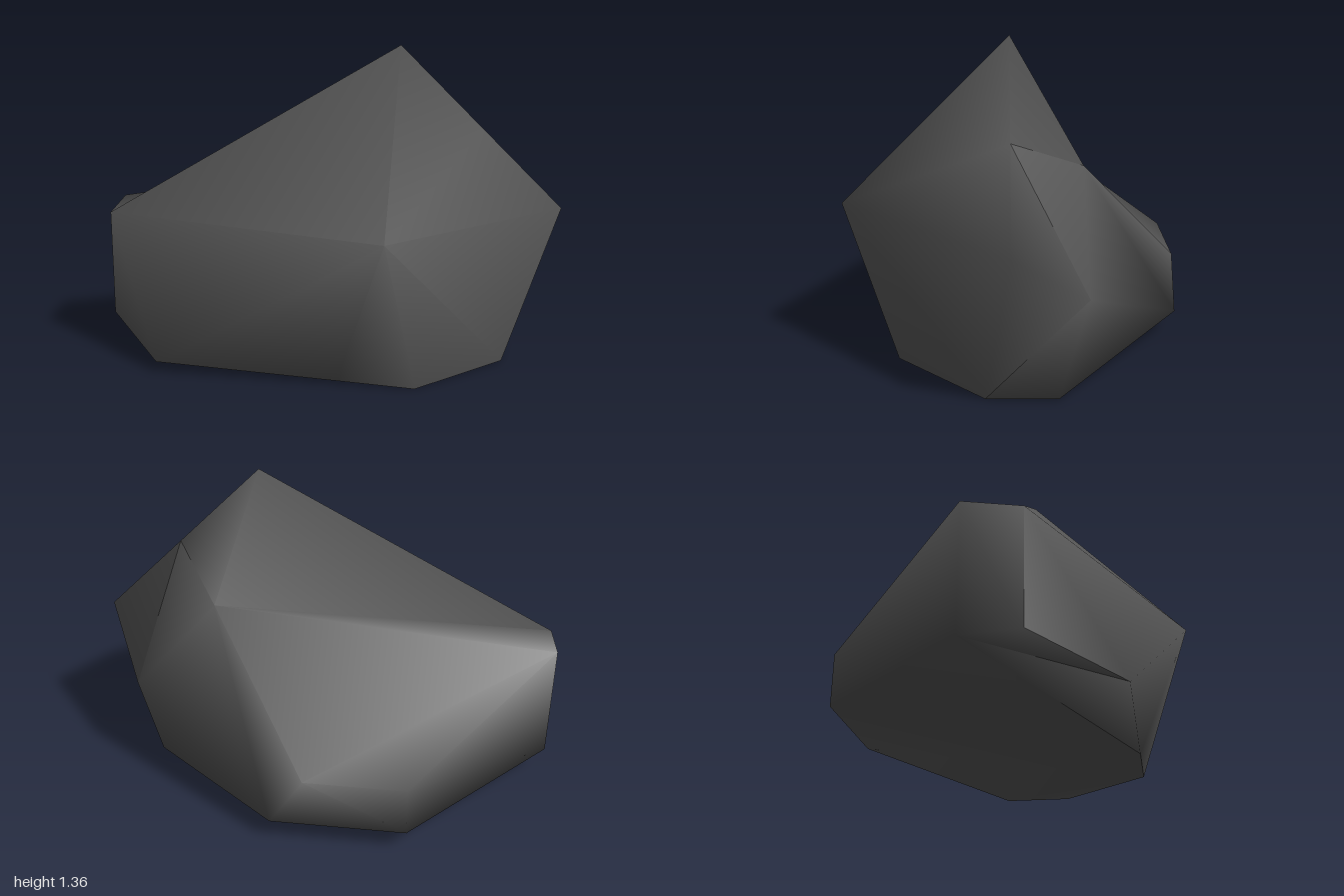
import * as THREE from 'three';

// Corners of the boulder
const corners = {
  peak: [0.3, 1.36, 0.02], east: [1, 0.67, 0.02], nose: [0.3, 0.66, 0.72],
  hip: [0.82, 0.44, -0.28], notch: [0.45, 0.86, -0.275],
  // flat chip at the back
  backA: [0.02, 0.32, -0.72], backB: [-0.41, 0.32, -0.72],
  backC: [-0.41, 0.1, -0.72], backD: [0.16, 0.1, -0.72],
  // flat chip at the -x end
  endA: [-1, 0.64, -0.11], endB: [-1, 0.12, -0.11],
  endC: [-0.99, 0.14, 0.12], endD: [-0.99, 0.61, 0.12],
  // foot
  footA: [-0.69, 0.045, 0.46], footB: [0.41, 0, 0.49],
  footC: [0.765, 0, 0.12], footD: [0.77, 0, -0.17],
  // points where the crease between the two shells meets an edge
  seamTop: [0.66, 1.005, 0.02], seamFoot: [0.09, 0.013, 0.481],
};

// Facets, counter-clockwise from outside; each list is shaded smooth on its own
const frontFacets = [
  // front
  'peak endD nose', 'endD endC footA', 'endD footA nose',
  'footA seamFoot nose', 'seamFoot footB nose',
  'nose east seamTop peak', 'nose footB footC east',
  // wrapping over the top, +x side and underside
  'peak seamTop notch', 'peak notch endD',
  'seamTop east hip', 'east footC hip', 'seamFoot footA endB',
];
const backFacets = [
  // +x side
  'seamTop hip notch', 'footC footD hip',
  // back, hollow below the notch
  'notch endA endD', 'notch hip backD backA', 'hip footD backD',
  'notch backA endA', 'backA backB endA',
  'backA backD backC backB', 'backB backC endB endA',
  // -x end
  'endA endB endC endD', 'footA endC endB',
  // underside
  'footB seamFoot endB backC backD footD footC',
];

// Smooth shell from named facets, each split as a fan
function shell(name, facets, material) {
  const names = [...new Set(facets.join(' ').split(' '))];
  const index = [];
  for (const facet of facets) {
    const ring = facet.split(' ').map((corner) => names.indexOf(corner));
    for (let i = 1; i < ring.length - 1; i++) index.push(ring[0], ring[i], ring[i + 1]);
  }
  const geometry = new THREE.BufferGeometry();
  const positions = names.flatMap((corner) => corners[corner]);
  geometry.setAttribute('position', new THREE.Float32BufferAttribute(positions, 3));
  geometry.setIndex(index);
  geometry.computeVertexNormals();
  const mesh = new THREE.Mesh(geometry, material);
  mesh.name = name;
  return mesh;
}

export function createModel() {
  const stone = new THREE.MeshStandardMaterial({ color: 0x555555 });
  stone.name = 'dark stone';

  const group = new THREE.Group();
  group.name = 'rock';
  group.add(shell('rockFront', frontFacets, stone), shell('rockBack', backFacets, stone));
  return group;
}
